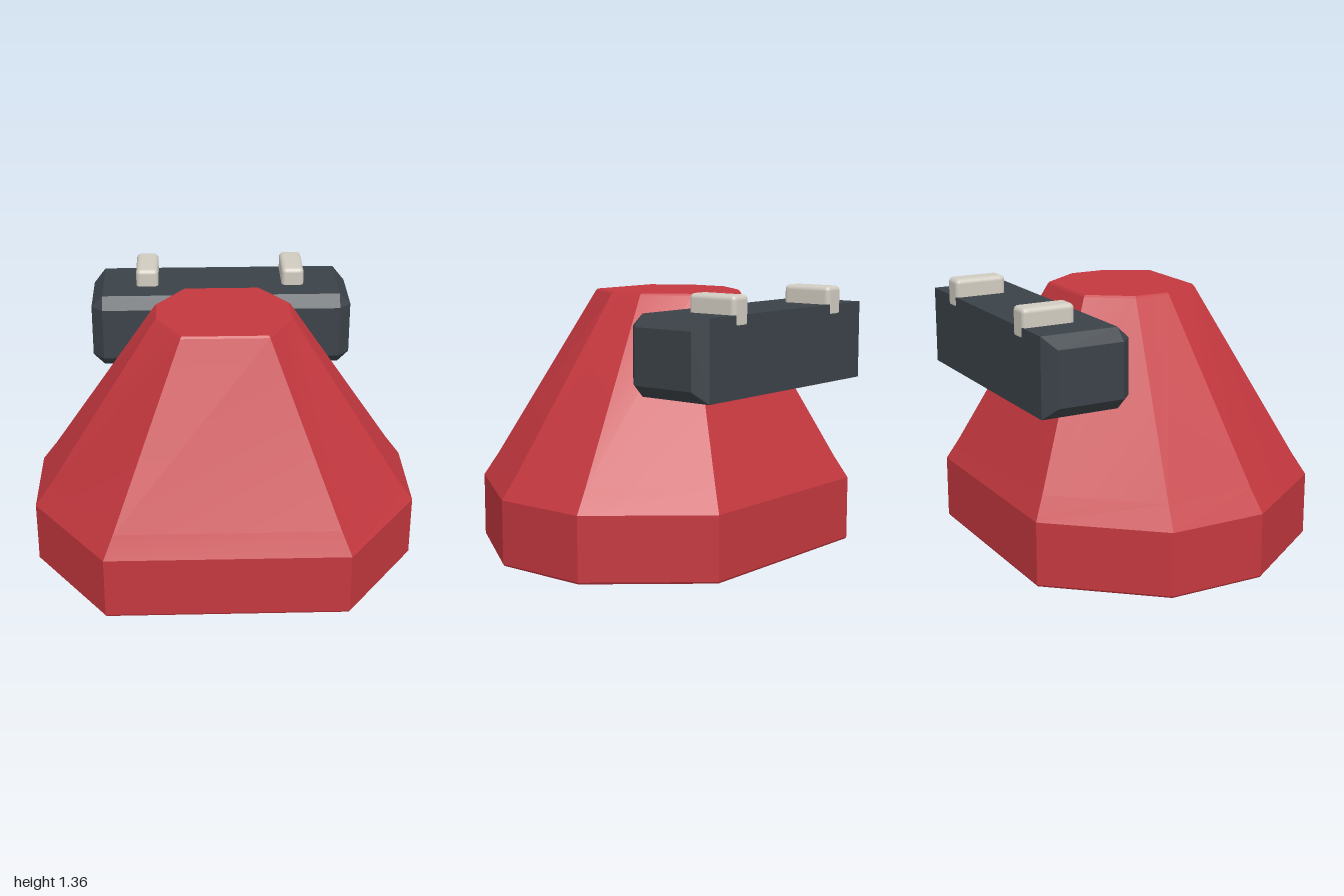
import * as THREE from 'three';
import { toCreasedNormals } from 'three/addons/utils/BufferGeometryUtils.js';
import { RoundedBoxGeometry } from 'three/addons/geometries/RoundedBoxGeometry.js';
import { ConvexGeometry } from 'three/addons/geometries/ConvexGeometry.js';

function flat(name, color) {
  const m = new THREE.MeshStandardMaterial({ color });
  m.name = name;
  return m;
}

// Completes an eight-sided outline from its +x half, given front to back as [x, z].
const mirrorOutline = (half) => [...half, ...half.map(([x, z]) => [-x, z]).reverse()];

// Closed solid through a stack of rings of [x, y, z] corners, lowest first.
function loft(rings) {
  const n = rings[0].length;
  const index = [];
  for (let r = 0; r < rings.length - 1; r++) {
    for (let i = 0; i < n; i++) {
      const a = r * n + i, b = r * n + (i + 1) % n;
      index.push(a, b, b + n, a, b + n, a + n);
    }
  }
  const top = (rings.length - 1) * n;
  for (let i = 1; i < n - 1; i++) {
    index.push(0, i + 1, i);
    index.push(top, top + i, top + i + 1);
  }
  const g = new THREE.BufferGeometry();
  g.setAttribute('position', new THREE.Float32BufferAttribute(rings.flat(2), 3));
  g.setIndex(index);
  return toCreasedNormals(g, 0.25);
}

export function createModel() {
  const red = flat('red', 0xc4383f);
  const charcoal = flat('charcoal', 0x3b4248);
  const cream = flat('cream', 0xd0cbc0);
  const model = new THREE.Group();
  const add = (name, geometry, material) => {
    const mesh = new THREE.Mesh(geometry, material);
    mesh.name = name;
    model.add(mesh);
    return mesh;
  };

  // Body: straight plinth, soft shoulder, then a taper to a small flat top
  const base = mirrorOutline([[0.62, 0.775], [1, 0.235], [1, -0.275], [0.56, -0.78]]);
  const crown = mirrorOutline([[0.22, 0.31], [0.35, 0.08], [0.35, -0.11], [0.2, -0.32]]);
  const ring = (y, t, s = 1) => base.map(([x, z], i) => [
    s * THREE.MathUtils.lerp(x, crown[i][0], t), y,
    s * THREE.MathUtils.lerp(z, crown[i][1], t),
  ]);
  add('taperedBody', loft([
    ring(0, 0, 0.993), ring(0.01, 0), ring(0.335, 0), ring(0.45, 0.126),
    ring(1.325, 0.995), ring(1.335, 1, 0.98),
  ]), red);

  // Rear block: chamfered everywhere except its long back edges
  const corners = [];
  for (const sx of [-1, 1]) {
    for (const sy of [-1, 1]) {
      const p = (x, y, z) => corners.push(new THREE.Vector3(sx * x, 1.07 + sy * y, z));
      p(0.64, 0.14, -0.315);
      p(0.7, 0.14, -0.375);
      p(0.64, 0.2, -0.375);
      p(0.7, 0.14, -0.72);
      p(0.64, 0.2, -0.78);
    }
  }
  add('rearBlock', new ConvexGeometry(corners), charcoal);

  // Two rounded lugs let into the top of the block
  for (const [name, x] of [['leftLug', 0.395], ['rightLug', -0.4]]) {
    add(name, new RoundedBoxGeometry(0.12, 0.16, 0.277, 3, 0.025), cream)
      .position.set(x, 1.283, -0.6425);
  }
  return model;
}
